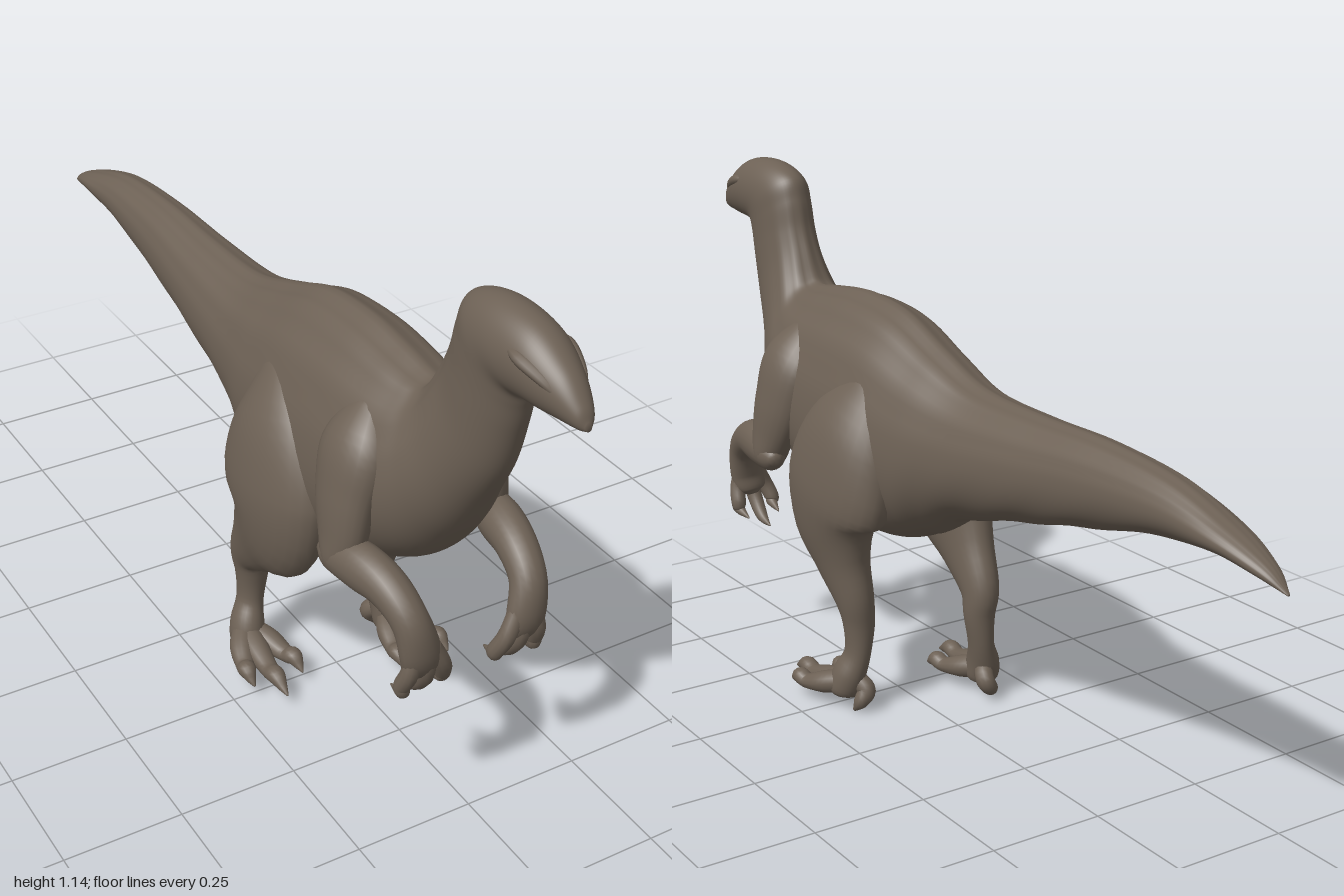
import * as THREE from 'three';

const V = (x, y, z) => new THREE.Vector3(x, y, z);
const smooth = (pts) => new THREE.CatmullRomCurve3(pts, false, 'catmullrom', 0.5);

// Skin over a list of closed rings, with both ends capped.
function skin(rings) {
  const n = rings[0].length, pos = [], idx = [];
  rings.forEach((r) => r.forEach((p) => pos.push(p.x, p.y, p.z)));
  for (let i = 0; i < rings.length - 1; i++) {
    for (let j = 0; j < n; j++) {
      const a = i * n + j, b = i * n + (j + 1) % n;
      idx.push(a, b, a + n, b, b + n, a + n);
    }
  }
  [0, rings.length - 1].forEach((i) => {
    const c = rings[i].reduce((s, p) => s.add(p), V(0, 0, 0)).divideScalar(n);
    const k = pos.length / 3;
    pos.push(c.x, c.y, c.z);
    for (let j = 0; j < n; j++) {
      const a = i * n + j, b = i * n + (j + 1) % n;
      if (i === 0) idx.push(k, b, a); else idx.push(k, a, b);
    }
  });
  const g = new THREE.BufferGeometry();
  g.setAttribute('position', new THREE.Float32BufferAttribute(pos, 3));
  g.setIndex(idx);
  g.computeVertexNormals();
  return g;
}

// Tapered limb: points are [x, y, z, sideways radius, other radius].
function limb(points, s = 1, steps = 28, around = 20) {
  const path = smooth(points.map((p) => V(p[0] * s, p[1], p[2])));
  const size = smooth(points.map((p) => V(p[3], p[4] ?? p[3], 0)));
  const rings = [];
  for (let i = 0; i <= steps; i++) {
    const c = path.getPoint(i / steps), r = size.getPoint(i / steps), t = path.getTangent(i / steps);
    const side = V(1, 0, 0).addScaledVector(t, -t.x).normalize();
    const up = t.clone().cross(side);
    rings.push(Array.from({ length: around }, (_, j) => {
      const a = j / around * Math.PI * 2;
      return c.clone().addScaledVector(side, Math.cos(a) * r.x).addScaledVector(up, Math.sin(a) * r.y);
    }));
  }
  return skin(rings);
}

// Tail, trunk, neck and head in one: top z, top y, bottom z, bottom y, half width.
function bodyGeometry() {
  const sections = [
    [-1, .636, -1, .632, .003], [-.95, .675, -.95, .645, .024], [-.85, .717, -.85, .66, .046],
    [-.7, .76, -.68, .645, .057], [-.5, .777, -.46, .595, .07], [-.3, .775, -.25, .545, .088],
    [-.1, .783, -.05, .49, .11], [.05, .83, .08, .42, .138], [.2, .885, .2, .385, .155],
    [.35, .9, .36, .385, .16], [.47, .89, .48, .44, .155], [.54, .88, .6, .51, .138],
    [.575, .88, .675, .6, .112], [.595, .9, .735, .7, .088], [.62, .95, .79, .8, .07],
    [.64, 1, .82, .9, .064], [.655, 1.06, .832, .955, .063], [.68, 1.11, .842, .98, .064],
    [.76, 1.135, .87, .986, .063], [.86, 1.128, .91, .988, .055], [.94, 1.085, .95, .991, .038],
    [.985, 1.04, .985, .993, .021], [1, 1.01, 1, .996, .006],
  ];
  const tops = smooth(sections.map((s) => V(s[4], s[1], s[0])));
  const bottoms = smooth(sections.map((s) => V(s[4], s[3], s[2])));
  const rings = [], steps = 176, around = 64;
  for (let i = 0; i <= steps; i++) {
    const t = i / steps, a = tops.getPoint(t), b = bottoms.getPoint(t);
    const egg = 0.14 * THREE.MathUtils.smoothstep(t, .15, .35) * (1 - THREE.MathUtils.smoothstep(t, .5, .62));
    const rough = .016 * (1 - THREE.MathUtils.smoothstep(t, .62, .78));
    rings.push(Array.from({ length: around }, (_, j) => {
      const q = j / around * Math.PI * 2, sn = Math.sin(q), cs = Math.cos(q);
      // shallow skin folds: lengthwise on the back, ragged under the tail
      const back = Math.max(0, sn) * Math.cos(14 * (q - Math.PI / 2));
      const under = t < .32 ? Math.max(0, -sn) * Math.sin(150 * t + 5 * Math.abs(cs)) : 0;
      const k = 1 + rough * (back + under);
      const m = .5 + .5 * sn * k;
      return V(a.x * cs * k * (1 - egg * sn), b.y + (a.y - b.y) * m, b.z + (a.z - b.z) * m);
    }));
  }
  return skin(rings);
}

export function createModel() {
  const root = new THREE.Group();
  const hide = new THREE.MeshStandardMaterial({ color: 0x6d6155 });
  hide.name = 'brown hide';
  const add = (name, geometry, parent = root) => {
    const m = new THREE.Mesh(geometry, hide);
    m.name = name;
    parent.add(m);
  };

  add('body', bodyGeometry());

  [1, -1].forEach((s) => {
    const label = s > 0 ? 'left' : 'right';

    // brow ridge
    add(label + 'Brow', limb([[.046, 1.085, .83, .004], [.049, 1.08, .87, .012],
      [.038, 1.062, .92, .01], [.026, 1.04, .955, .003]], s, 14, 10));

    // leg: the right one is set further back below the knee
    const leg = new THREE.Group();
    leg.name = label + 'Leg';
    root.add(leg);
    const back = s > 0 ? 0 : -.1;
    add('thighAndShin', limb([
      [.085, .76, .18, .03, .05], [.11, .64, .22, .08, .135], [.137, .52, .255 + back * .15, .082, .168],
      [.145, .43, .268 + back * .3, .07, .142], [.14, .34, .245 + back * .7, .052, .086],
      [.132, .26, .213 + back, .041, .052], [.126, .2, .205 + back, .035, .037],
      [.131, .13, .205 + back, .028, .033], [.145, .08, .218 + back, .036, .04],
      [.15, .04, .23 + back, .036, .036], [.15, .026, .232 + back, .01, .01],
    ], s, 44, 28), leg);
    // three front toes and one small rear toe
    [[.163, .425], [.098, .375], [.208, .365]].forEach(([x, z], i) => {
      const mid = (f) => .15 + (x - .15) * f;
      const len = z - .22;
      add('toe' + (i + 1), limb([
        [.15, .065, .215 + back, .026], [mid(.55), .052, .22 + len * .3 + back, .027, .025],
        [mid(.85), .042, .22 + len * .6 + back, .02, .017], [mid(.97), .048, .22 + len * .76 + back, .019, .019],
        [x, .038, .22 + len * .9 + back, .01], [x, .03, z + back, .002],
      ], s, 22, 14), leg);
    });
    add('rearToe', limb([[.14, .075, .21 + back, .02], [.125, .05, .18 + back, .021],
      [.14, .025, .178 + back, .017], [.15, s > 0 ? .003 : .018, .19 + back, .004]], s, 16, 12), leg);

    // arm
    const arm = new THREE.Group();
    arm.name = label + 'Arm';
    root.add(arm);
    add('upperArm', limb([[.075, .81, .48, .025, .04], [.115, .73, .495, .055, .085], [.143, .64, .505, .05, .078],
      [.158, .56, .52, .042, .06], [.165, .505, .525, .036, .036], [.165, .48, .525, .012, .012]], s, 28, 22), arm);
    add('forearm', limb([[.178, .512, .475, .012], [.17, .515, .505, .032, .036], [.155, .523, .58, .042, .05],
      [.142, .515, .655, .04, .042], [.131, .475, .713, .037, .035], [.118, .41, .732, .042, .028],
      [.112, .37, .725, .036, .022], [.11, .355, .72, .012, .01]], s, 36, 20), arm);
    // curled clawed fingers
    [[.068, .315, .675], [.105, .292, .65], [.145, .31, .68]].forEach(([x, y, z], i) => {
      const mid = (f) => .118 + (x - .118) * f;
      add('finger' + (i + 1), limb([
        [mid(.4), .425, .732, .018], [mid(.9), .375, .736, .018], [mid(1.15), .338, .722, .017],
        [mid(1.1), y + .012, z + .04, .013], [x, y, z, .002],
      ], s, 20, 12), arm);
    });
  });

  return root;
}
